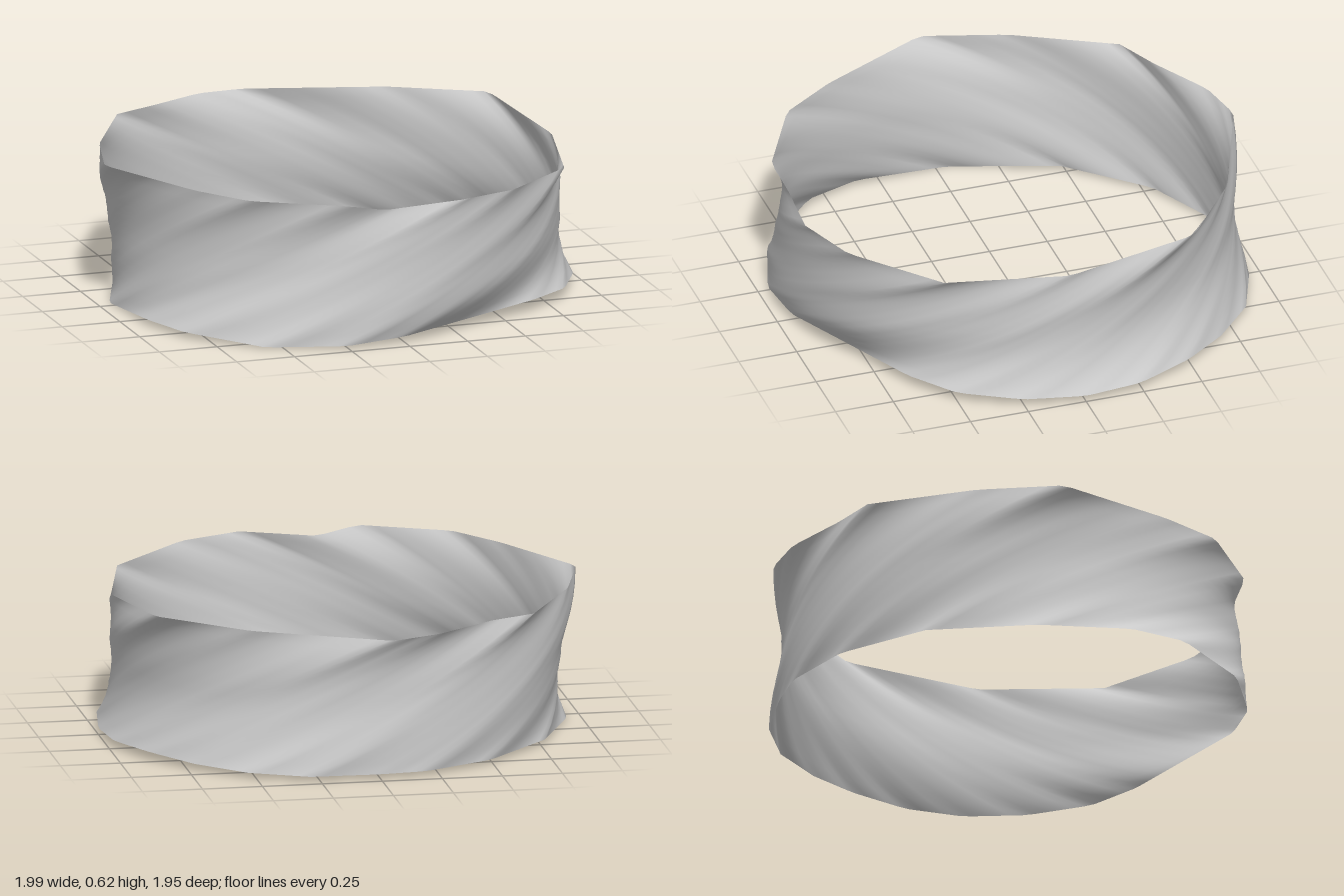
import * as THREE from 'three';

const { degToRad, lerp, euclideanModulo } = THREE.MathUtils;

// Cross-section rings as [angle from +z toward +x in degrees, radius, height].
const topRing = [
  [-177, 0.99, 0.59], [-165, 0.975, 0.6], [-148, 0.935, 0.61], [-136, 0.985, 0.61],
  [-108, 0.95, 0.61], [-87, 1.0, 0.615], [-56, 0.93, 0.61], [-39, 0.97, 0.61],
  [-15, 0.975, 0.605], [-5, 0.93, 0.57], [14, 0.99, 0.595], [30, 0.995, 0.59],
  [56, 0.99, 0.575], [87, 0.94, 0.58], [121, 1.0, 0.62], [147, 0.925, 0.605]];
const middleRing = [
  [-180, 0.95], [-150, 0.965], [-120, 0.955], [-90, 0.91], [-60, 0.935], [-30, 0.955],
  [0, 0.995], [30, 0.97], [60, 0.96], [90, 0.955], [120, 0.93], [150, 0.94]];
const bottomRing = [
  [-168, 0.95, 0.02], [-148, 0.925, 0.02], [-122, 0.91, 0.02], [-93, 0.945, 0.002],
  [-69, 0.98, 0.03], [-55, 1.02, 0.03], [-34, 1.025, 0.01], [-15, 0.99, 0.015],
  [0, 0.94, 0.03], [45, 0.925, 0.055], [59, 0.98, 0.05], [75, 0.995, 0.04],
  [90, 1.0, 0.03], [104, 1.01, 0.035], [119, 1.0, 0.04], [133, 0.99, 0.03],
  [148, 1.0, 0.025], [163, 0.985, 0.02], [180, 0.95, 0.02]];

// Radius and height where a ray at the given angle meets the ring's straight edges.
function sampleRing(ring, angle) {
  const degrees = euclideanModulo(angle + 180, 360) - 180;
  const n = ring.length;
  const next = Math.max(0, ring.findIndex((point) => point[0] > degrees));
  const [a0, r0, y0 = 0.31] = ring[(next + n - 1) % n];
  const [a1, r1, y1 = 0.31] = ring[next];
  const before = degToRad(euclideanModulo(degrees - a0, 360));
  const after = degToRad(euclideanModulo(a1 - degrees, 360));
  const w0 = r1 * Math.sin(after), w1 = r0 * Math.sin(before);
  return { r: r0 * r1 * Math.sin(before + after) / (w0 + w1), y: (y0 * w0 + y1 * w1) / (w0 + w1) };
}

// A thin buckled hoop: folds climb diagonally from the lower rim, across the waist, to the upper rim.
function bandGeometry(segments = 120, rows = 14, lean = 35) {
  const positions = [];
  const indices = [];
  for (let i = 0; i < segments; i++) {
    const degrees = -180 + i * 360 / segments;
    const top = sampleRing(topRing, degrees + lean);
    const bottom = sampleRing(bottomRing, degrees - lean);
    // the waist is softened by averaging neighbouring samples
    const waist = [-14, -7, 0, 7, 14].reduce((sum, d) => sum + sampleRing(middleRing, degrees + d).r / 5, 0);
    for (let j = 0; j <= rows; j++) {
      const s = 2 * j / rows - 1;
      const a = degToRad(degrees + lean * s);
      const r = lerp(waist, (s > 0 ? top : bottom).r, Math.abs(s) ** 1.9);
      const y = lerp(bottom.y, top.y, j / rows);
      positions.push(r * Math.sin(a), y, r * Math.cos(a));
      if (j < rows) {
        const p = i * (rows + 1) + j;
        const q = ((i + 1) % segments) * (rows + 1) + j;
        indices.push(p, q, q + 1, p, q + 1, p + 1);
      }
    }
  }
  const geometry = new THREE.BufferGeometry();
  geometry.setAttribute('position', new THREE.Float32BufferAttribute(positions, 3));
  geometry.setIndex(indices);
  geometry.computeVertexNormals();
  return geometry;
}

export function createModel() {
  const group = new THREE.Group();
  group.name = 'twistedHoop';
  const material = new THREE.MeshStandardMaterial({ color: 0xcccccc, side: THREE.DoubleSide });
  const band = new THREE.Mesh(bandGeometry(), material);
  band.name = 'band';
  group.add(band);
  return group;
}
